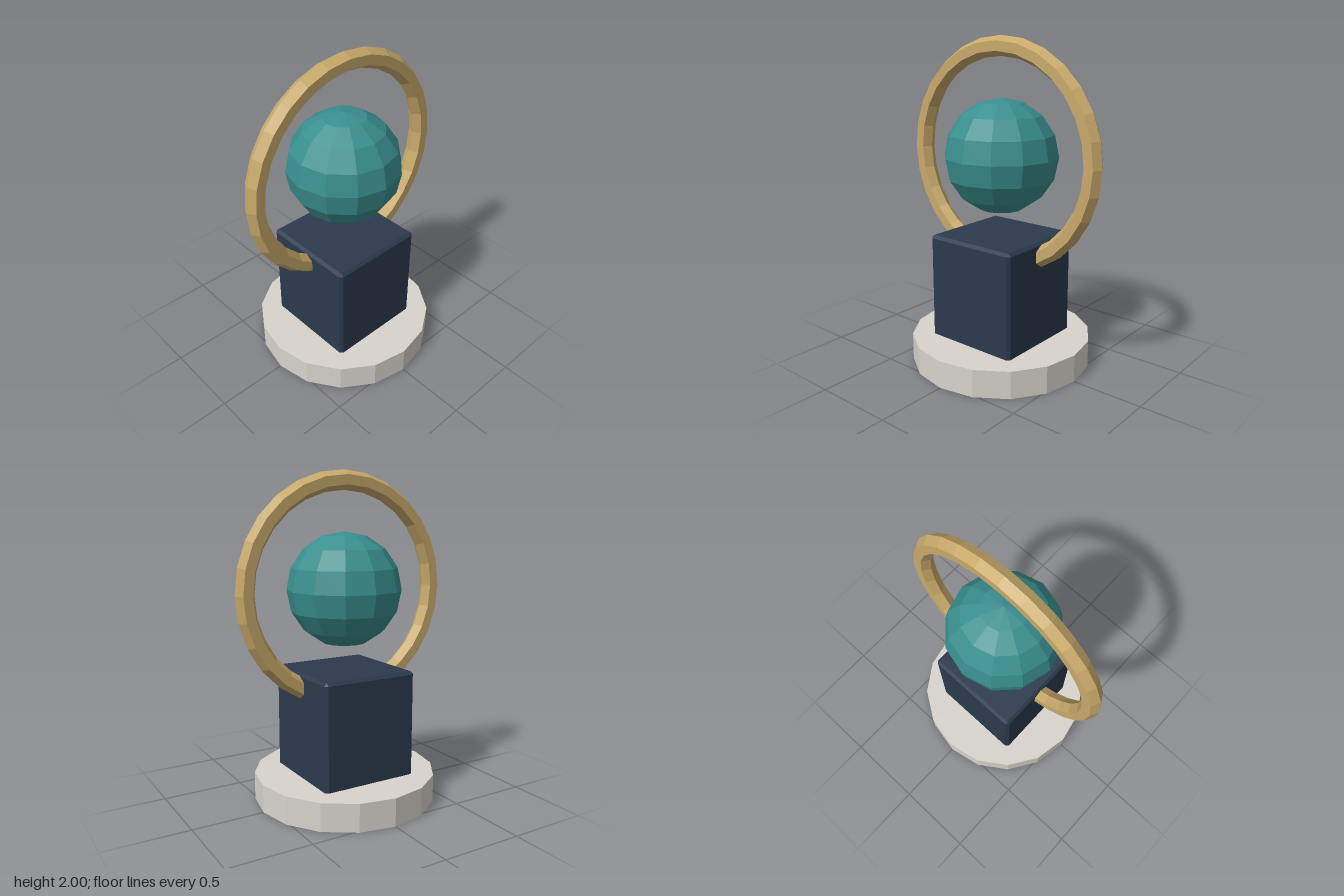
import * as THREE from 'three';
import { ConvexGeometry } from 'three/addons/geometries/ConvexGeometry.js';

// Box with every edge cut by a flat chamfer
function chamferedBox(w, h, d, c) {
  const points = [];
  for (const sx of [-1, 1]) for (const sy of [-1, 1]) for (const sz of [-1, 1]) {
    const [x, y, z] = [w / 2, h / 2, d / 2];
    points.push(
      new THREE.Vector3(sx * x, sy * (y - c), sz * (z - c)),
      new THREE.Vector3(sx * (x - c), sy * y, sz * (z - c)),
      new THREE.Vector3(sx * (x - c), sy * (y - c), sz * z),
    );
  }
  return new ConvexGeometry(points);
}

export function createModel() {
  const model = new THREE.Group();
  model.name = 'orbTrophy';

  const add = (name, geometry, color, y) => {
    const material = new THREE.MeshStandardMaterial({ color, flatShading: true });
    const mesh = new THREE.Mesh(geometry, material);
    mesh.name = name;
    mesh.position.y = y;
    model.add(mesh);
  };

  const orbY = 1.296;

  // Sixteen-sided foot
  add('base', new THREE.CylinderGeometry(0.56, 0.56, 0.17, 16), 0xd8d4cc, 0.085);
  // Block, sunk slightly into the base so its lower chamfer is hidden
  add('pedestal', chamferedBox(0.615, 0.675, 0.615, 0.018), 0x2b3a4d, 0.4775);
  // Floating faceted ball
  add('orb', new THREE.SphereGeometry(0.347, 12, 8), 0x3a8f8f, orbY);
  // Hexagonal-section hoop whose bottom is buried in the pedestal
  add('ring', new THREE.TorusGeometry(0.645, 0.059, 6, 28), 0xc8a96a, orbY);

  return model;
}
